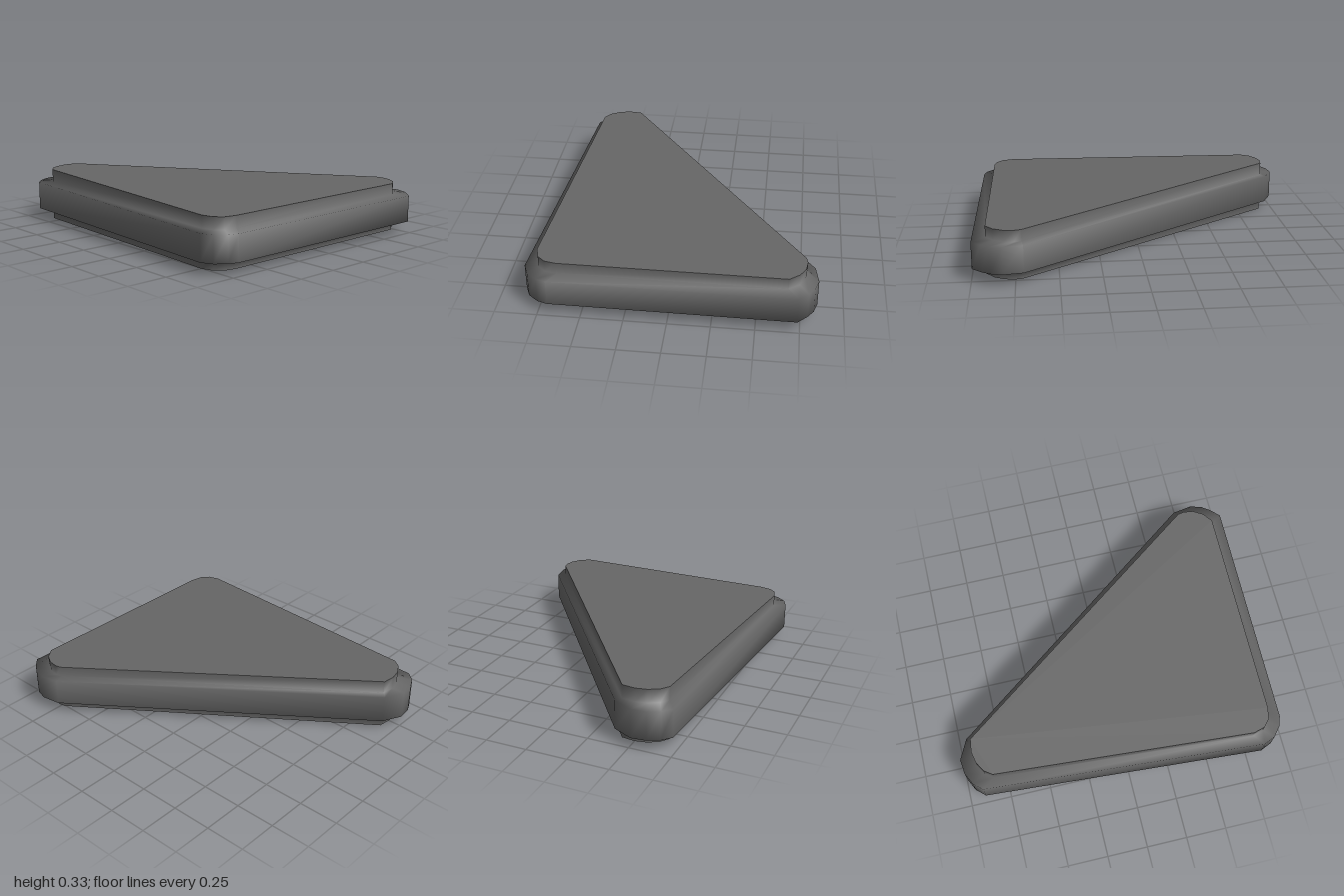
import * as THREE from 'three';

// Matching outlines (x, z), counter-clockwise seen from above: left, front, back corner
const inner = [
  [-0.91, 0.42], [-0.92, 0.5], [-0.905, 0.57], [-0.87, 0.63], [-0.82, 0.665],
  [0.78, 0.775], [0.85, 0.755], [0.89, 0.71], [0.905, 0.64],
  [0.915, -0.675], [0.87, -0.735], [0.81, -0.77], [0.75, -0.778], [0.71, -0.77],
];
const outer = [
  [-0.94, 0.39], [-1, 0.51], [-0.99, 0.6], [-0.955, 0.67], [-0.9, 0.72],
  [0.84, 0.84], [0.91, 0.81], [0.96, 0.75], [0.98, 0.69],
  [0.995, -0.735], [0.94, -0.79], [0.89, -0.825], [0.82, -0.845], [0.7, -0.825],
];

// Each ring: outline lying on a slightly tilted plane y = h + a*x + b*z
const ring = (outline, h, a, b) => outline.map(([x, z]) => [x, h + a * x + b * z, z]);
const rings = [
  ring(inner, 0.009, 0.006, -0.005),   // underside edge
  ring(inner, 0.06, 0.003, -0.003),    // lower ledge, inside
  ring(outer, 0.068, 0.003, -0.003),   // lower ledge, outside
  ring(outer, 0.236, -0.006, -0.005),  // upper ledge, outside
  ring(inner, 0.243, -0.006, -0.006),  // upper ledge, inside
  ring(inner, 0.318, -0.0125, -0.003), // top edge
];

function build(points, index) {
  const geo = new THREE.BufferGeometry();
  geo.setAttribute('position', new THREE.Float32BufferAttribute(points.flat(), 3));
  geo.setIndex(index);
  geo.computeVertexNormals();
  return geo;
}

// Smooth wall joining successive rings
function wall(loops) {
  const n = loops[0].length, index = [];
  for (let r = 0; r < loops.length - 1; r++) {
    for (let i = 0; i < n; i++) {
      const j = (i + 1) % n;
      const a = r * n + i, b = r * n + j, c = b + n, d = a + n;
      index.push(a, b, c, a, c, d);
    }
  }
  return build(loops.flat(), index);
}

// Flat convex face filling one ring
function face(loop, up) {
  const index = [];
  for (let i = 1; i < loop.length - 1; i++) index.push(0, up ? i : i + 1, up ? i + 1 : i);
  return build(loop, index);
}

export function createModel() {
  const group = new THREE.Group();
  group.name = 'triangularSlab';
  const material = new THREE.MeshStandardMaterial({ color: 0x666666 });
  const add = (name, geo) => {
    const mesh = new THREE.Mesh(geo, material);
    mesh.name = name;
    group.add(mesh);
  };
  add('steppedRim', wall(rings));
  add('topFace', face(rings[5], true));
  add('underside', face(rings[0], false));
  return group;
}
